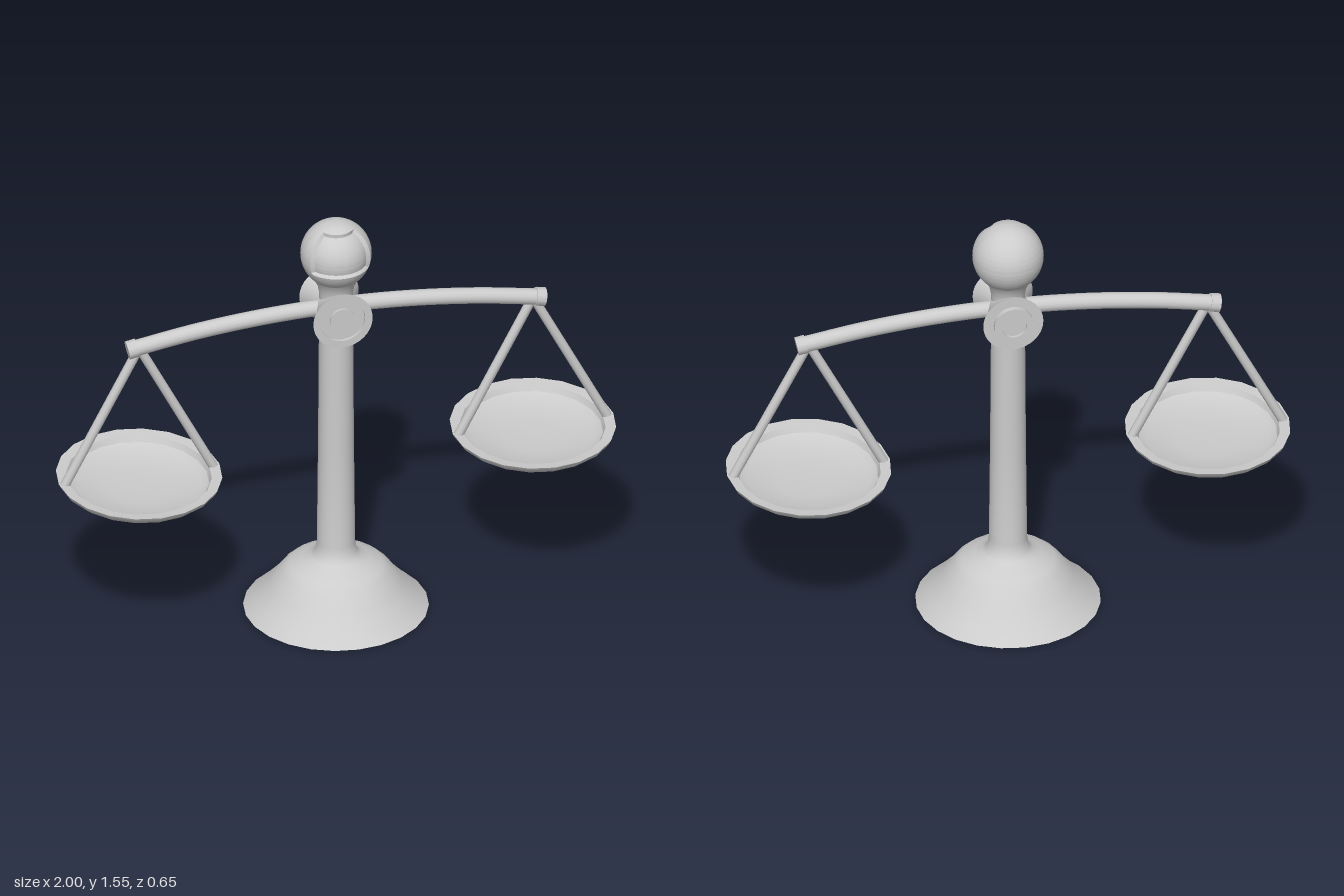
import * as THREE from 'three';
import { toCreasedNormals } from 'three/addons/utils/BufferGeometryUtils.js';

const material = new THREE.MeshStandardMaterial({ color: 0xcccccc, side: THREE.DoubleSide });

function part(name, geometry, parent) {
  const mesh = new THREE.Mesh(geometry, material);
  mesh.name = name;
  parent.add(mesh);
  return mesh;
}

// Turned shape from [radius, height] pairs, with crisp edges kept
function turned(points, sides, crease = 0.6) {
  const profile = points.map(([r, y]) => new THREE.Vector2(r, y));
  return toCreasedNormals(new THREE.LatheGeometry(profile, sides), crease);
}

// Straight round rod between two points
function rod(name, a, b, radius, parent) {
  const dir = b.clone().sub(a);
  const mesh = part(name, new THREE.CylinderGeometry(radius, radius, dir.length(), 10), parent);
  mesh.position.copy(a).add(b).multiplyScalar(0.5);
  mesh.quaternion.setFromUnitVectors(new THREE.Vector3(0, 1, 0), dir.normalize());
  return mesh;
}

const beamHeight = (x) => 1.212 - 0.132 * x * x;

// Ball whose front window is sunk to a smaller radius
function ballGeometry() {
  const geometry = new THREE.SphereGeometry(0.125, 72, 60);
  const pos = geometry.attributes.position;
  const v = new THREE.Vector3();
  for (let i = 0; i < pos.count; i++) {
    v.fromBufferAttribute(pos, i);
    const around = Math.abs(Math.atan2(v.x, v.z));
    if (around < 0.98 && v.y > -0.036 && v.y < 0.106) {
      v.setLength(0.113);
      pos.setXYZ(i, v.x, v.y, v.z);
    }
  }
  return toCreasedNormals(geometry, 0.5);
}

export function createModel() {
  const model = new THREE.Group();
  model.name = 'balanceScale';

  // Hollow flared base running up into the post and neck
  part('baseAndPost', turned([
    [0.325, 0], [0.285, 0.035], [0.23, 0.095], [0.19, 0.148], [0.165, 0.17],
    [0.12, 0.188], [0.09, 0.203], [0.073, 0.222], [0.067, 0.26], [0.063, 0.65],
    [0.06, 1.1], [0.06, 1.27], [0.066, 1.3], [0.078, 1.325], [0.095, 1.35],
  ], 24, 0.9), model);

  // Ball on top
  part('ball', ballGeometry(), model).position.y = 1.425;

  // Spool-shaped pivot: rear boss, concave waist and recessed front face
  const pivot = part('pivotHub', turned([
    [0, -0.108], [0.045, -0.108], [0.045, -0.118], [0.07, -0.118], [0.07, -0.1],
    [0.107, -0.1], [0.09, -0.07], [0.078, -0.035], [0.074, 0], [0.078, 0.035],
    [0.09, 0.07], [0.107, 0.1], [0.08, 0.1], [0.08, 0.088], [0.045, 0.088],
    [0.045, 0.096], [0, 0.096],
  ], 32), model);
  pivot.rotation.x = Math.PI / 2;
  pivot.position.y = 1.204;

  // Bowed beam
  const path = new THREE.CatmullRomCurve3(
    [-0.74, -0.5, -0.25, 0, 0.25, 0.5, 0.74].map((x) => new THREE.Vector3(x, beamHeight(x), 0)));
  part('beam', new THREE.TubeGeometry(path, 40, 0.029, 14), model);

  for (const side of [-1, 1]) {
    const label = side > 0 ? 'left' : 'right';

    // Collar closing the beam end
    const tip = (x) => new THREE.Vector3(side * x, beamHeight(x), 0);
    rod(label + 'BeamCollar', tip(0.718), tip(0.752), 0.034, model);

    // Hanging pan with its two rods
    const hanger = new THREE.Group();
    hanger.name = label + 'Hanger';
    hanger.position.x = side * 0.71;
    model.add(hanger);
    for (const s of [-1, 1]) {
      rod('hangingRod', new THREE.Vector3(s * 0.006, 1.13, 0),
        new THREE.Vector3(s * 0.272, 0.615, 0), 0.017, hanger);
    }

    // Shallow oval pan: rounded underside, flat rim, sunken floor
    const pan = part('pan', turned([
      [0, 0.542], [0.08, 0.545], [0.16, 0.555], [0.23, 0.573], [0.285, 0.597],
      [0.306, 0.613], [0.315, 0.63], [0.275, 0.626], [0.265, 0.605], [0.235, 0.59],
      [0.12, 0.58], [0, 0.577],
    ], 20), hanger);
    pan.scale.x = 0.92;
  }
  return model;
}
